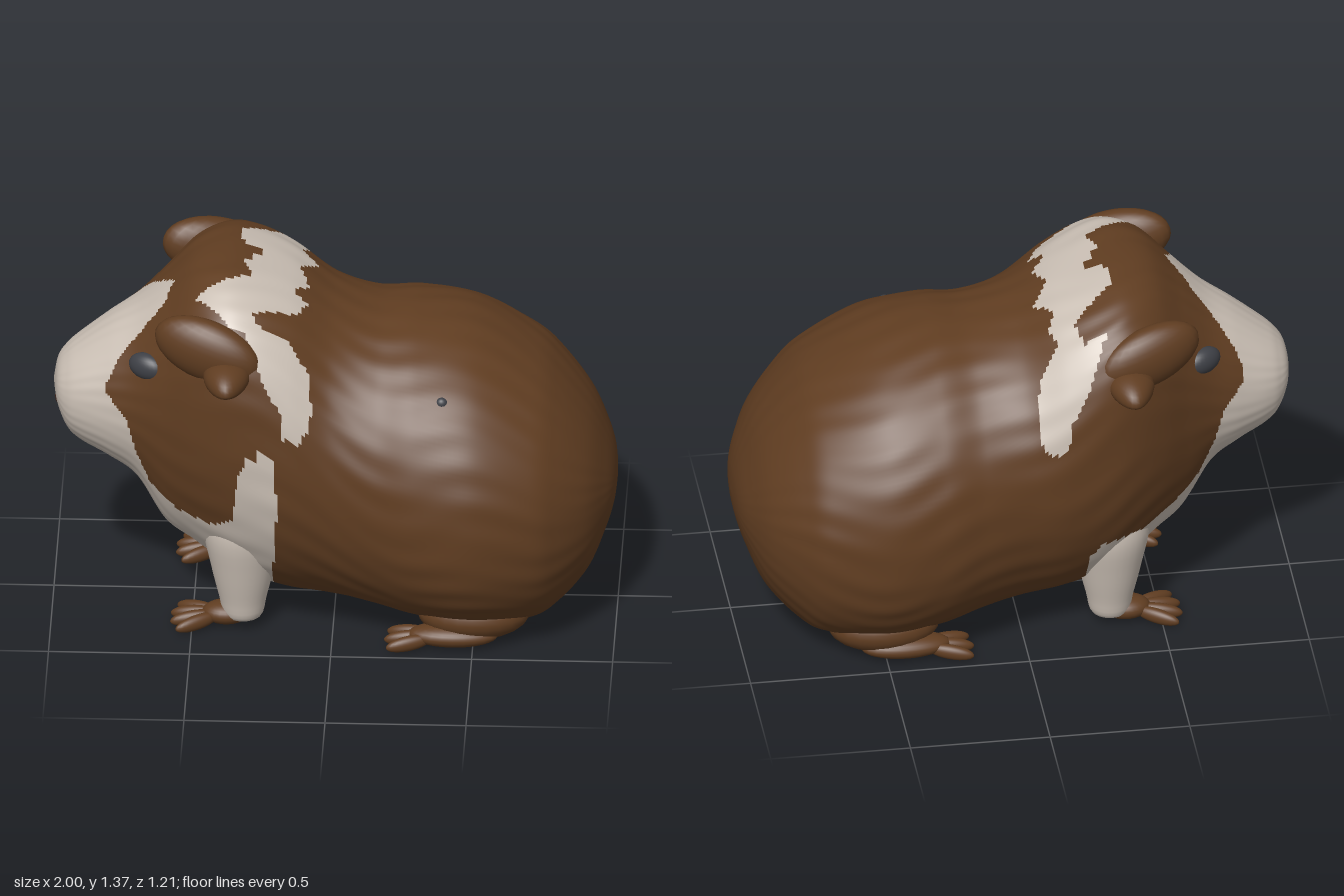
import * as THREE from 'three';

const mat = (name, color) => Object.assign(new THREE.MeshStandardMaterial({ color }), { name });
const brown = mat('brown fur', 0x603d21);
const white = mat('white fur', 0xcabfb4);
const dark = mat('dark grey', 0x3e4046);
const lip = mat('mouth brown', 0x4a2a20);

// Body sections: x, top, bottom, half width, height of the widest point
const SECTIONS = [
  [-1.0, .85, .85, 0, .85],
  [-.985, .925, .77, .1, .845],
  [-.95, .975, .68, .155, .83],
  [-.9, 1.02, .63, .19, .83],
  [-.8, 1.1, .575, .235, .83],
  [-.7, 1.17, .5, .28, .84],
  [-.6, 1.26, .33, .345, .85],
  [-.5, 1.345, .255, .42, .85],
  [-.4, 1.37, .18, .475, .84],
  [-.3, 1.355, .12, .505, .8],
  [-.15, 1.3, .08, .52, .72],
  [0, 1.21, .065, .52, .64],
  [.15, 1.16, .05, .55, .58],
  [.3, 1.158, .03, .59, .54],
  [.5, 1.12, .02, .605, .51],
  [.7, 1.01, .02, .55, .5],
  [.8, .92, .07, .485, .5],
  [.9, .79, .18, .375, .5],
  [.96, .67, .32, .25, .5],
  [.99, .58, .42, .14, .5],
  [1.0, .5, .5, 0, .5],
];
const HEAD_SHIFT = .025; // the head is turned slightly towards +z

// Smooth interpolation between sections
function sectionAt(t) {
  const last = SECTIONS.length - 1;
  const i = Math.min(Math.floor(t), last - 1), f = t - i;
  const at = (k) => SECTIONS[THREE.MathUtils.clamp(k, 0, last)];
  const [a, b, c, d] = [at(i - 1), at(i), at(i + 1), at(i + 2)];
  return b.map((v, k) => v + .5 * f * (c[k] - a[k] + f * (2 * a[k] - 5 * v + 4 * c[k] - d[k]
    + f * (3 * (v - c[k]) + d[k] - a[k]))));
}

function inside(poly, px, py) {
  let hit = false;
  for (let i = 0, j = poly.length - 1; i < poly.length; j = i++) {
    const [ax, ay] = poly[i], [bx, by] = poly[j];
    if ((ay > py) !== (by > py) && px < (bx - ax) * (py - ay) / (by - ay) + ax) hit = !hit;
  }
  return hit;
}

// White markings: face and chest as (x, y), forehead and collar as (x, z)
const FACE = [[-1.1, 1.3], [-.82, 1.3], [-.81, .92], [-.73, .82], [-.7, .7], [-.65, .57], [-.55, .49]];
const LEG = [[-.22, .1], [-.24, -.1], [-1.1, -.1]];
const CHEST_L = [...FACE, [-.42, .47], [-.35, .52], [-.33, .72], [-.3, .79], [-.25, .81], [-.2, .78],
  [-.19, .6], ...LEG];
const CHEST_R = [...FACE, [-.42, .43], [-.27, .43], [-.22, .36], ...LEG];
const BLAZE = [[-.85, -.22], [-.8, -.17], [-.73, -.11], [-.65, -.03], [-.57, .09], [-.6, .17],
  [-.75, .21], [-.85, .27]];
const COLLAR = [[-.15, -.42], [-.22, -.39], [-.19, -.29], [-.34, -.17], [-.34, -.08], [-.26, -.02],
  [-.32, .07], [-.29, .16], [-.49, .27], [-.36, .4], [-.26, .4], [-.28, .34], [-.13, .26], [-.09, .18],
  [-.15, .16], [-.09, .08], [-.13, -.02], [-.06, -.11], [-.13, -.19], [-.1, -.25], [-.13, -.32], [-.04, -.38]];
const COLLAR_SIDE = [[-.38, 1.31], [-.31, 1.25], [-.24, 1.08], [-.18, .97], [-.17, .88], [-.12, .86],
  [-.08, .89], [-.07, .97], [-.08, 1.08], [-.2, 1.27], [-.25, 1.31]];

function isWhite(x, y, z) {
  const belly = x > -.36 && y < .3 && Math.abs(z) < .2;
  if (!belly && inside(z > 0 ? CHEST_L : CHEST_R, x, y)) return true;
  if (y > .95 && inside(BLAZE, x, z)) return true;
  if (y > 1.1 && Math.abs(z) < .4 && inside(COLLAR, x, z)) return true;
  return Math.abs(z) > .37 && inside(COLLAR_SIDE, z > 0 ? x : x - .03, y);
}

// Head and body in one skin, with fine fur ridges and two colour groups
function bodyMesh() {
  const rows = 250, cols = 200, pos = [], groups = [[], []];
  for (let i = 0; i <= rows; i++) {
    const [x, top, bottom, w, mid] = sectionAt(i / rows * (SECTIONS.length - 1));
    // The crown and the belly are squarer than the rest
    const upper = 2.1 + Math.exp(-(((x + .35) / .22) ** 2));
    const lower = 2.05 + .4 * Math.exp(-(((x - .5) / .35) ** 2));
    const shift = HEAD_SHIFT * (1 - THREE.MathUtils.smoothstep(x, -.7, -.2));
    for (let j = 0; j < cols; j++) {
      const a = j / cols * Math.PI * 2, c = Math.cos(a), s = Math.sin(a);
      const p = 2 / (s > 0 ? upper : lower);
      const fur = 1 + .004 * Math.sin(a * 28 + 2 * Math.sin(x * 9)) * Math.sin(x * 7 + a * 3);
      const h = s > 0 ? top - mid : mid - bottom;
      pos.push(x, mid + fur * h * Math.sign(s) * Math.abs(s) ** p,
        shift + fur * w * Math.sign(c) * Math.abs(c) ** p);
    }
  }
  for (let i = 0; i < rows; i++) {
    for (let j = 0; j < cols; j++) {
      const a = i * cols + j, b = i * cols + (j + 1) % cols;
      const centre = [0, 1, 2].map((k) => (pos[a * 3 + k] + pos[(b + cols) * 3 + k]) / 2);
      groups[isWhite(...centre) ? 1 : 0].push(a, a + cols, b, b, a + cols, b + cols);
    }
  }
  const geo = new THREE.BufferGeometry();
  geo.setAttribute('position', new THREE.Float32BufferAttribute(pos, 3));
  geo.setIndex(groups.flat());
  geo.addGroup(0, groups[0].length, 0);
  geo.addGroup(groups[0].length, groups[1].length, 1);
  geo.computeVertexNormals();
  const mesh = new THREE.Mesh(geo, [brown, white]);
  mesh.name = 'body';
  return mesh;
}

function ellipsoid(name, material, [x, y, z], [rx, ry, rz], rot = [0, 0, 0]) {
  const mesh = new THREE.Mesh(new THREE.SphereGeometry(1, 24, 16), material);
  mesh.name = name;
  mesh.position.set(x, y, z);
  mesh.scale.set(rx, ry, rz);
  mesh.rotation.set(...rot);
  return mesh;
}

// Foot with toes fanned towards the nose
function foot(name, x, z, length, width, toes, reach, fan) {
  const g = new THREE.Group();
  g.name = name;
  g.position.set(x, 0, z);
  g.add(ellipsoid('sole', brown, [0, .05, 0], [length, .042, width]));
  for (let i = 0; i < toes; i++) {
    const a = (i / (toes - 1) - .5) * fan;
    const d = length * .6 + reach / 2;
    g.add(ellipsoid('toe', brown, [-Math.cos(a) * d, .033, Math.sin(a) * d],
      [reach * .65, .028, .023], [0, a, .12]));
  }
  return g;
}

// Front leg swelling into the shoulder: white, with a brown inner rear quarter
function frontLeg(s) {
  const g = new THREE.Group();
  g.name = 'frontLeg';
  const profile = new THREE.SplineCurve([[0, .03], [.065, .045], [.085, .12], [.115, .25], [.14, .4], [.1, .52], [0, .58]]
    .map(([r, y]) => new THREE.Vector2(r, y))).getPoints(24);
  const quarter = Math.PI / 2, start = s > 0 ? quarter : 0;
  g.add(new THREE.Mesh(new THREE.LatheGeometry(profile, 8, start, quarter), brown));
  g.add(new THREE.Mesh(new THREE.LatheGeometry(profile, 24, start + quarter, 3 * quarter), white));
  g.position.set(-.32, 0, s * .26);
  return g;
}

// Drooping ear: a fold against the head and a cupped lip standing out
function ear(s) {
  const g = new THREE.Group();
  g.name = s > 0 ? 'earFront' : 'earBack';
  g.position.z = .01;
  g.add(ellipsoid('earFold', brown, [-.44, 1.17, s * .39], [.2, .115, .075], [0, -s * .25, -.3]));
  const flap = ellipsoid('earLip', brown, [-.37, 1.1, s * .48], [.08, .058, .11], [s * .12, 0, 0]);
  const p = flap.geometry.attributes.position;
  for (let i = 0; i < p.count; i++) {
    const x = p.getX(i), y = p.getY(i), z = p.getZ(i);
    p.setXYZ(i, x * (1 - .3 * z * s), y < 0 ? y * (.65 + .35 * x * x) : y, z);
  }
  flap.geometry.computeVertexNormals();
  g.add(flap);
  return g;
}

export function createModel() {
  const model = new THREE.Group();
  model.name = 'guineaPig';
  model.add(bodyMesh());

  for (const s of [1, -1]) {
    model.add(ear(s));
    model.add(ellipsoid('eye', dark, [-.66, 1.035, s * .25 + HEAD_SHIFT], [.072, .05, .04], [0, -s * .55, 0]));
    model.add(frontLeg(s));
    model.add(foot('frontPaw', -.38, s * .26, .085, .06, 4, .13, 1));
    model.add(ellipsoid('haunch', brown, [.5, .11, s * .33], [.2, .095, .13]));
    model.add(foot('hindFoot', .43, s * .4, .16, .065, 3, .13, .55));
  }

  // Small details: mouth, flank spot and base patch
  model.add(ellipsoid('mouth', lip, [-.975, .78, HEAD_SHIFT], [.02, .03, .04]));
  model.add(ellipsoid('flankSpot', dark, [.39, .98, .41], [.022, .022, .018]));
  const base = new THREE.Mesh(new THREE.CylinderGeometry(.2, .2, .009, 32), dark);
  base.name = 'basePatch';
  base.position.set(.54, .015, .05);
  model.add(base);
  return model;
}
